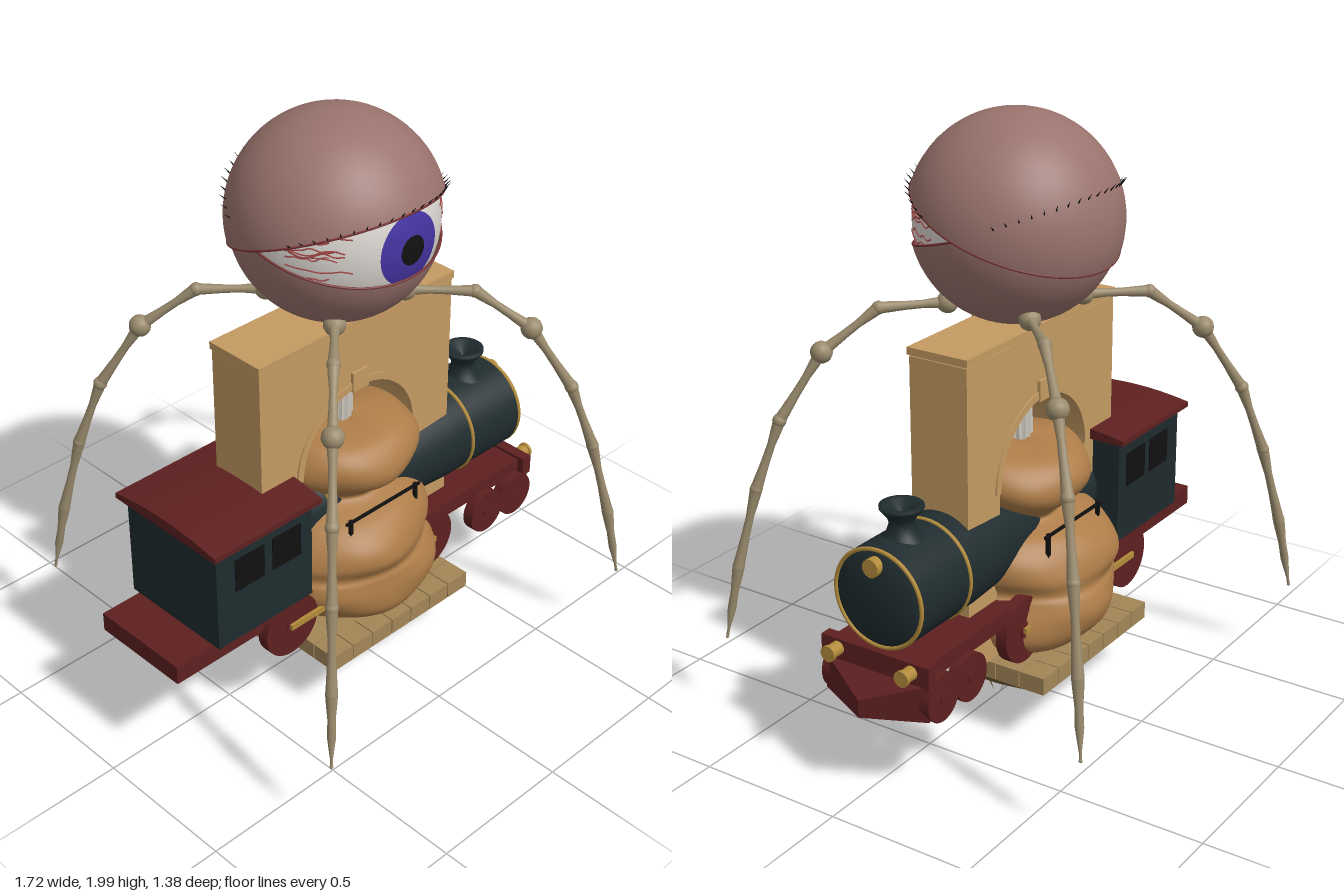
import * as THREE from 'three';
import { ConvexGeometry } from 'three/addons/geometries/ConvexGeometry.js';
import { toCreasedNormals } from 'three/addons/utils/BufferGeometryUtils.js';

const V = (x, y, z) => new THREE.Vector3(x, y, z);
const paint = (color) => new THREE.MeshStandardMaterial({ color, side: THREE.DoubleSide });
const M = {
  lid: paint(0x9a736d), rim: paint(0x7a3434), white: paint(0xd9d4cf), iris: paint(0x4433a0), black: paint(0x111111),
  vein: paint(0xa84a48), bone: paint(0x9a8b6d), sand: paint(0xc49a62), clay: paint(0xad7c48), tile: paint(0xa38657),
  earth: paint(0x735a38), red: paint(0x5e2020), dark: paint(0x1f2b2e), gold: paint(0xb28b3a), marble: paint(0xcac5ba),
};

let seed = 7;
const rand = () => (seed = (seed * 16807) % 2147483647) / 2147483647;

function add(parent, name, geo, mat, x = 0, y = 0, z = 0) {
  const m = new THREE.Mesh(geo, mat);
  m.name = name;
  m.position.set(x, y, z);
  parent.add(m);
  return m;
}
// Box given by its limits on each axis
function box(parent, name, mat, x0, x1, y0, y1, z0, z1) {
  return add(parent, name, new THREE.BoxGeometry(x1 - x0, y1 - y0, z1 - z0), mat, (x0 + x1) / 2, (y0 + y1) / 2, (z0 + z1) / 2);
}
// Smooth lathe through [radius, height] points
function lathe(pts, segs = 40, smooth = 0) {
  let p = pts.map(([r, y]) => new THREE.Vector2(r, y));
  if (smooth) p = new THREE.SplineCurve(p).getPoints(smooth).map((q) => q.set(Math.max(q.x, 0), q.y));
  return new THREE.LatheGeometry(p, segs);
}
function alignY(mesh, dir) {
  mesh.quaternion.setFromUnitVectors(V(0, 1, 0), dir.clone().normalize());
  return mesh;
}

function makeEye() {
  const eye = new THREE.Group();
  eye.name = 'eye';
  eye.position.y = 1.655;
  add(eye, 'eyeball', new THREE.SphereGeometry(0.325, 48, 32), M.white);
  const cap = (name, r, theta, mat) => {
    add(eye, name, new THREE.SphereGeometry(r, 40, 8, 0, Math.PI * 2, 0, theta), mat).rotation.x = Math.PI / 2;
  };
  cap('iris', 0.329, 0.36, M.iris);
  cap('pupil', 0.331, 0.145, M.black);
  // Veins wander from the eye corners toward the iris
  for (const s of [-1, 1]) for (let i = 0; i < 9; i++) {
    let e = (rand() - 0.5) * 0.35;
    const pts = [];
    for (let k = 0; k < 7; k++) {
      const a = s * (1.25 - k * (0.07 + 0.012 * (i % 4)));
      e += (rand() - 0.5) * 0.09;
      pts.push(V(Math.sin(a) * Math.cos(e), Math.sin(e), Math.cos(a) * Math.cos(e)).multiplyScalar(0.3255));
    }
    add(eye, 'vein', new THREE.TubeGeometry(new THREE.CatmullRomCurve3(pts), 18, 0.0025, 4), M.vein);
  }
  // Two half-shell lids tilted open toward the front
  const lid = (name, r, start, tilt) => {
    const g = new THREE.Group();
    g.name = name;
    g.rotation.x = tilt;
    add(g, name + 'Shell', new THREE.SphereGeometry(r, 56, 20, 0, Math.PI * 2, start, Math.PI / 2), M.lid);
    add(g, name + 'Rim', new THREE.TorusGeometry(r - 0.002, 0.004, 6, 64), M.rim).rotation.x = Math.PI / 2;
    eye.add(g);
  };
  lid('upperLid', 0.345, 0, -0.36);
  lid('lowerLid', 0.335, Math.PI / 2, 0.3);
  // Lashes, a front row and a matching back row
  for (const turn of [0, Math.PI]) {
    const row = new THREE.Group();
    row.name = turn ? 'backLashes' : 'frontLashes';
    row.rotation.set(-0.36, turn, 0, 'YXZ');
    for (let i = -10; i <= 10; i++) {
      const a = i * 0.115, out = V(Math.sin(a), 0, Math.cos(a));
      const p = out.clone().multiplyScalar(0.352);
      alignY(add(row, 'lash', new THREE.ConeGeometry(0.004, 0.038, 5), M.black, p.x, 0.008, p.z), out.setY(0.6));
    }
    eye.add(row);
  }
  return eye;
}

// One bony leg along the +x +z diagonal; points are [distance on each axis, height, thickness]
function makeLeg() {
  const leg = new THREE.Group();
  leg.name = 'leg';
  const joints = [[0.155, 1.39, 0.036], [0.31, 1.385, 0.022], [0.44, 1.25, 0.036], [0.54, 1.03, 0.023],
    [0.6, 0.8, 0.021], [0.65, 0.53, 0.02], [0.685, 0.28, 0.006]];
  joints.forEach(([d, y, r], i) => {
    add(leg, 'joint', new THREE.SphereGeometry(r, 14, 10), M.bone, d, y, d);
    if (!i) return;
    const [d0, y0] = joints[i - 1], dir = V(d - d0, y - y0, d - d0), L = dir.length();
    const end = i === joints.length - 1 ? 0.005 : 0.02;
    const g = lathe([[0.02, 0], [0.018, L * 0.12], [0.013, L * 0.35], [0.014, L * 0.6], [end * 0.9, L * 0.9], [end, L]], 12);
    alignY(add(leg, 'bone', g, M.bone, d0, y0, d0), dir);
  });
  return leg;
}

function makeArch() {
  const arch = new THREE.Group();
  arch.name = 'arch';
  const s = new THREE.Shape();
  s.moveTo(-0.425, 0.26).lineTo(-0.25, 0.26).lineTo(-0.25, 0.83);
  s.absarc(0, 0.83, 0.25, Math.PI, 0, true);
  s.lineTo(0.25, 0.26).lineTo(0.425, 0.26).lineTo(0.425, 1.3).lineTo(-0.425, 1.3);
  const wall = new THREE.ExtrudeGeometry(s, { depth: 0.214, bevelEnabled: false, curveSegments: 28 });
  add(arch, 'archWall', wall, M.sand, 0, 0, -0.107);
  const ring = new THREE.Shape();
  ring.absarc(0, 0.83, 0.275, 0, Math.PI, false);
  ring.absarc(0, 0.83, 0.25, Math.PI, 0, true);
  add(arch, 'archMoulding', new THREE.ExtrudeGeometry(ring, { depth: 0.226, bevelEnabled: false, curveSegments: 28 }), M.sand, 0, 0, -0.113);
  box(arch, 'keystone', M.sand, -0.035, 0.035, 1.07, 1.14, -0.117, 0.117);
  box(arch, 'cornice', M.sand, -0.43, 0.43, 1.305, 1.33, -0.112, 0.112);
  box(arch, 'corniceStep', M.sand, -0.42, 0.42, 1.298, 1.306, -0.104, 0.104);
  return arch;
}

function makeLocomotive() {
  const loco = new THREE.Group();
  loco.name = 'locomotive';
  // Boiler tapers toward the cab
  const boiler = lathe([[0, 0.77], [0.1, 0.765], [0.15, 0.75], [0.168, 0.735], [0.168, 0.42], [0.15, 0.1], [0.125, -0.14], [0.125, -0.32]]);
  add(loco, 'boiler', toCreasedNormals(boiler, 0.6), M.dark, 0, 0.64).rotation.z = -Math.PI / 2;
  for (const [x, r] of [[0.745, 0.162], [0.5, 0.168], [-0.14, 0.127]])
    add(loco, 'boilerBand', new THREE.TorusGeometry(r, 0.007, 8, 48), M.gold, x, 0.64).rotation.y = Math.PI / 2;
  add(loco, 'chimney', lathe([[0.075, 0.785], [0.05, 0.815], [0.04, 0.845], [0.045, 0.865], [0.07, 0.895], [0.07, 0.905], [0.05, 0.905], [0, 0.87]], 28), M.dark, 0.62);
  const lamp = (name, x, y, z, r, len) => {
    add(loco, name, new THREE.CylinderGeometry(r, r, len, 20), M.gold, x, y, z).rotation.z = Math.PI / 2;
  };
  lamp('headLamp', 0.76, 0.755, 0, 0.03, 0.045);
  // Cab with side windows and a shallow curved roof
  box(loco, 'cab', M.dark, -0.71, -0.31, 0.465, 0.835, -0.21, 0.21);
  const roof = new THREE.Shape();
  roof.moveTo(-0.237, 0.83).lineTo(0.237, 0.83).lineTo(0.237, 0.848).quadraticCurveTo(0, 0.892, -0.237, 0.848);
  add(loco, 'cabRoof', new THREE.ExtrudeGeometry(roof, { depth: 0.445, bevelEnabled: false }), M.red, -0.735).rotation.y = Math.PI / 2;
  // Frame
  box(loco, 'rearPlatform', M.red, -0.86, -0.25, 0.398, 0.465, -0.182, 0.182);
  box(loco, 'frontFrame', M.red, 0.2, 0.77, 0.41, 0.465, -0.18, 0.18);
  box(loco, 'bufferBeam', M.red, 0.735, 0.775, 0.405, 0.475, -0.205, 0.205);
  const plow = [];
  for (const s of [-1, 1]) plow.push(V(0.765, 0.41, s * 0.2), V(0.765, 0.285, s * 0.2));
  plow.push(V(0.86, 0.345, 0), V(0.86, 0.285, 0));
  add(loco, 'plow', new ConvexGeometry(plow), M.red);
  for (const s of [-1, 1]) {
    lamp('bufferLamp', 0.795, 0.445, s * 0.14, 0.023, 0.05);
    lamp('bufferLampRim', 0.822, 0.445, s * 0.14, 0.027, 0.01);
    for (const x of [-0.575, -0.42]) box(loco, 'cabWindow', M.black, x - 0.06, x + 0.06, 0.655, 0.775, s * 0.211 - 0.003, s * 0.211 + 0.003);
    for (const [x, r] of [[-0.395, 0.112], [0.25, 0.112], [0.55, 0.08], [0.7, 0.08]]) {
      add(loco, 'wheel', new THREE.CylinderGeometry(r, r, 0.04, 32), M.red, x, 0.263 + r, s * 0.185).rotation.x = Math.PI / 2;
      add(loco, 'wheelHub', new THREE.CylinderGeometry(r * 0.25, r * 0.25, 0.05, 16), M.red, x, 0.263 + r, s * 0.185).rotation.x = Math.PI / 2;
    }
    box(loco, 'couplingRod', M.gold, -0.41, 0.27, 0.37, 0.39, s * 0.215 - 0.006, s * 0.215 + 0.006);
    for (const x of [-0.15, 0.15]) box(loco, 'railPost', M.black, x - 0.006, x + 0.006, 0.56, 0.68, s * 0.225 - 0.006, s * 0.225 + 0.006);
    box(loco, 'handRail', M.black, -0.17, 0.17, 0.667, 0.676, s * 0.225 - 0.004, s * 0.225 + 0.004);
  }
  return loco;
}

// Lumpy clay body with a waist and a mushroom-like upper part
function makeBody() {
  const geo = lathe([[0.12, 0.25], [0.25, 0.265], [0.315, 0.32], [0.335, 0.39], [0.325, 0.45], [0.312, 0.48], [0.325, 0.53], [0.305, 0.59],
    [0.25, 0.645], [0.175, 0.675], [0.155, 0.695], [0.185, 0.725], [0.24, 0.77], [0.258, 0.82], [0.24, 0.87], [0.19, 0.91], [0.09, 0.93], [0, 0.932]], 64, 90);
  const p = geo.attributes.position;
  for (let i = 0; i < p.count; i++) {
    const y = p.getY(i), a = Math.atan2(p.getZ(i), p.getX(i));
    const k = 1 + 0.025 * Math.sin(3 * a + y * 14) + 0.015 * Math.sin(5 * a - y * 25);
    p.setXYZ(i, p.getX(i) * k + 0.015 * Math.sin(y * 9), y + 0.01 * Math.sin(2 * a + 1), p.getZ(i) * k);
  }
  geo.computeVertexNormals();
  return geo;
}

function makeBase() {
  const base = new THREE.Group();
  base.name = 'base';
  box(base, 'slab', M.tile, -0.305, 0.305, 0.2, 0.255, -0.305, 0.305);
  // Tiles around the square edge
  for (let side = 0; side < 4; side++) {
    const edge = new THREE.Group();
    edge.name = 'tileRow';
    edge.rotation.y = side * Math.PI / 2;
    for (let i = 0; i < 7; i++) box(edge, 'tile', M.tile, -0.32 + i * 0.0914, -0.232 + i * 0.0914, 0.203, 0.262, 0.232, 0.32);
    base.add(edge);
  }
  // Underside: square at the top, rounding off to a point
  const geo = lathe([[0.31, 0.203], [0.26, 0.165], [0.2, 0.11], [0.13, 0.06], [0.06, 0.022], [0, 0.01]], 64, 24);
  const p = geo.attributes.position;
  for (let i = 0; i < p.count; i++) {
    const x = p.getX(i), z = p.getZ(i), r = Math.hypot(x, z), big = Math.max(Math.abs(x), Math.abs(z)) || 1;
    const k = 1 + (r / big - 1) * Math.min(1, r / 0.28);
    p.setXYZ(i, x * k, p.getY(i), z * k);
  }
  geo.computeVertexNormals();
  add(base, 'underside', geo, M.earth);
  // Hanging roots
  for (let i = 0; i < 22; i++) {
    const a = i * 2.4, r = 0.03 + 0.14 * rand(), len = 0.05 + 0.04 * rand();
    const y = Math.max(0.012 + r * 0.42, 0.03 + len / 2);
    const root = add(base, 'root', new THREE.ConeGeometry(0.005, len, 5), M.earth, Math.cos(a) * r, y, Math.sin(a) * r);
    root.rotation.set(Math.PI + (rand() - 0.5) * 0.5, 0, (rand() - 0.5) * 0.5);
  }
  return base;
}

// Fluted column with a wider capital
function makeColumn() {
  const g = new THREE.Group();
  g.name = 'column';
  const shaft = new THREE.CylinderGeometry(0.055, 0.058, 0.19, 80, 1), p = shaft.attributes.position;
  for (let i = 0; i < p.count; i++) {
    const k = 1 - 0.12 * Math.abs(Math.sin(8 * Math.atan2(p.getZ(i), p.getX(i))));
    p.setX(i, p.getX(i) * k).setZ(i, p.getZ(i) * k);
  }
  add(g, 'columnShaft', toCreasedNormals(shaft, 0.6), M.marble, 0, 0.96);
  add(g, 'columnCapital', new THREE.CylinderGeometry(0.066, 0.056, 0.03, 32), M.marble, 0, 1.055);
  return g;
}

export function createModel() {
  const model = new THREE.Group();
  model.name = 'walkingEye';
  model.add(makeEye(), makeArch(), makeLocomotive(), makeBase(), makeColumn());
  add(model, 'clayBody', makeBody(), M.clay);
  for (let i = 0; i < 4; i++) {
    const leg = makeLeg();
    leg.rotation.y = i * Math.PI / 2;
    model.add(leg);
  }
  return model;
}
